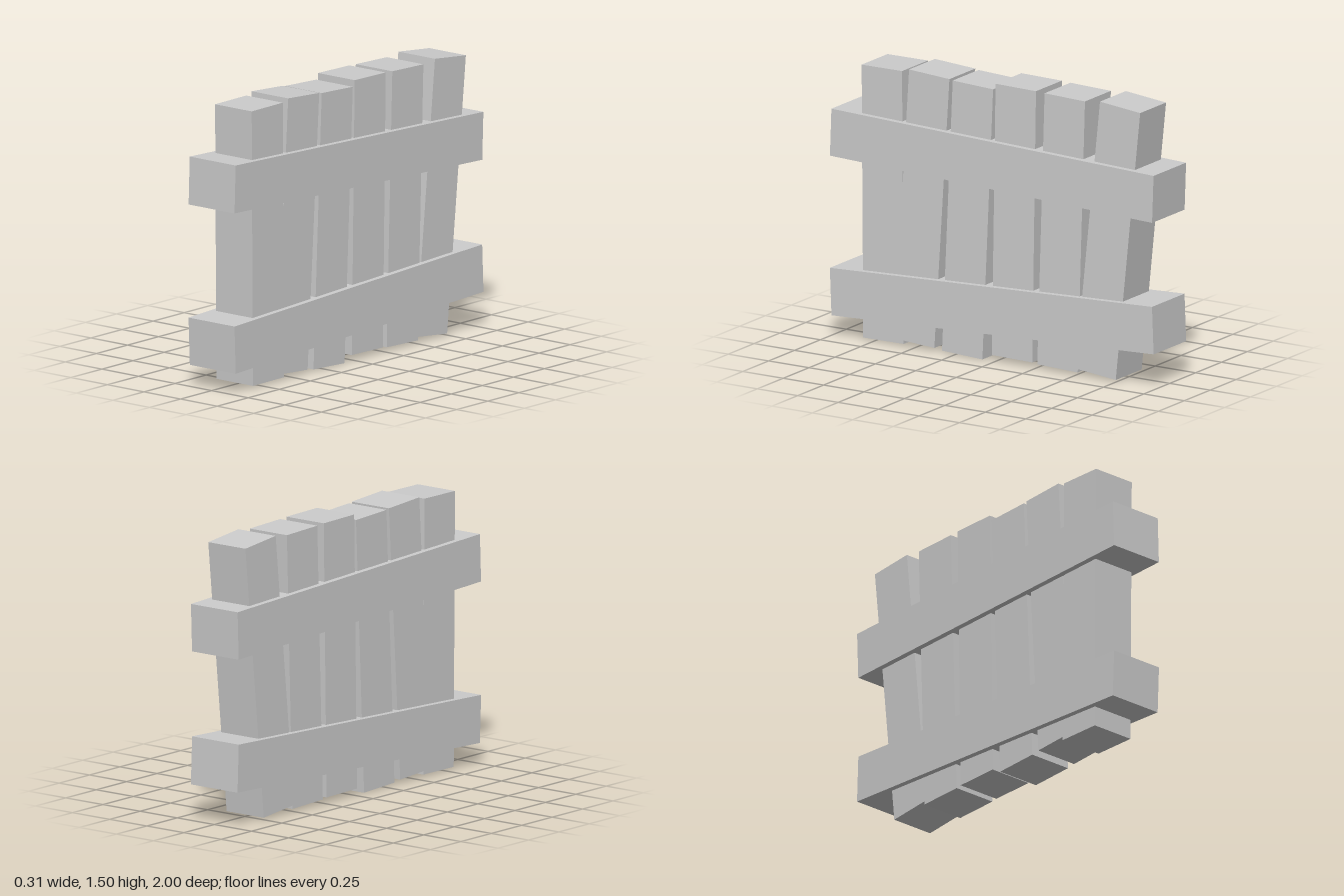
import * as THREE from 'three';

const material = new THREE.MeshStandardMaterial({ color: 0xcccccc, flatShading: true });

// Square-cut beam running between two end centres given as [z, y]
function beam(name, [z0, y0], [z1, y1], thickness, width) {
  const dz = z1 - z0, dy = y1 - y0;
  const mesh = new THREE.Mesh(new THREE.BoxGeometry(thickness, Math.hypot(dz, dy), width), material);
  mesh.position.set(0, (y0 + y1) / 2, (z0 + z1) / 2);
  mesh.rotation.x = Math.atan2(dz, dy);
  mesh.name = name;
  return mesh;
}

export function createModel() {
  const fence = new THREE.Group();
  fence.name = 'fence';

  // Crooked upright planks: bottom centre, top centre
  const planks = [
    [[0.69, 0.014], [0.7, 1.485]],
    [[0.5, 0.029], [0.407, 1.493]],
    [[0.203, 0.008], [0.137, 1.475]],
    [[-0.105, 0.033], [-0.128, 1.5]],
    [[-0.386, 0.022], [-0.431, 1.491]],
    [[-0.622, 0.025], [-0.773, 1.487]],
  ];
  planks.forEach(([bottom, top], i) => fence.add(beam(`plank${i + 1}`, bottom, top, 0.25, 0.25)));

  // Two thicker, slightly tilted rails enclosing the planks
  fence.add(beam('upperRail', [-0.996, 1.03], [0.996, 1.102], 0.314, 0.255));
  fence.add(beam('lowerRail', [-0.996, 0.322], [0.996, 0.242], 0.314, 0.255));

  return fence;
}
